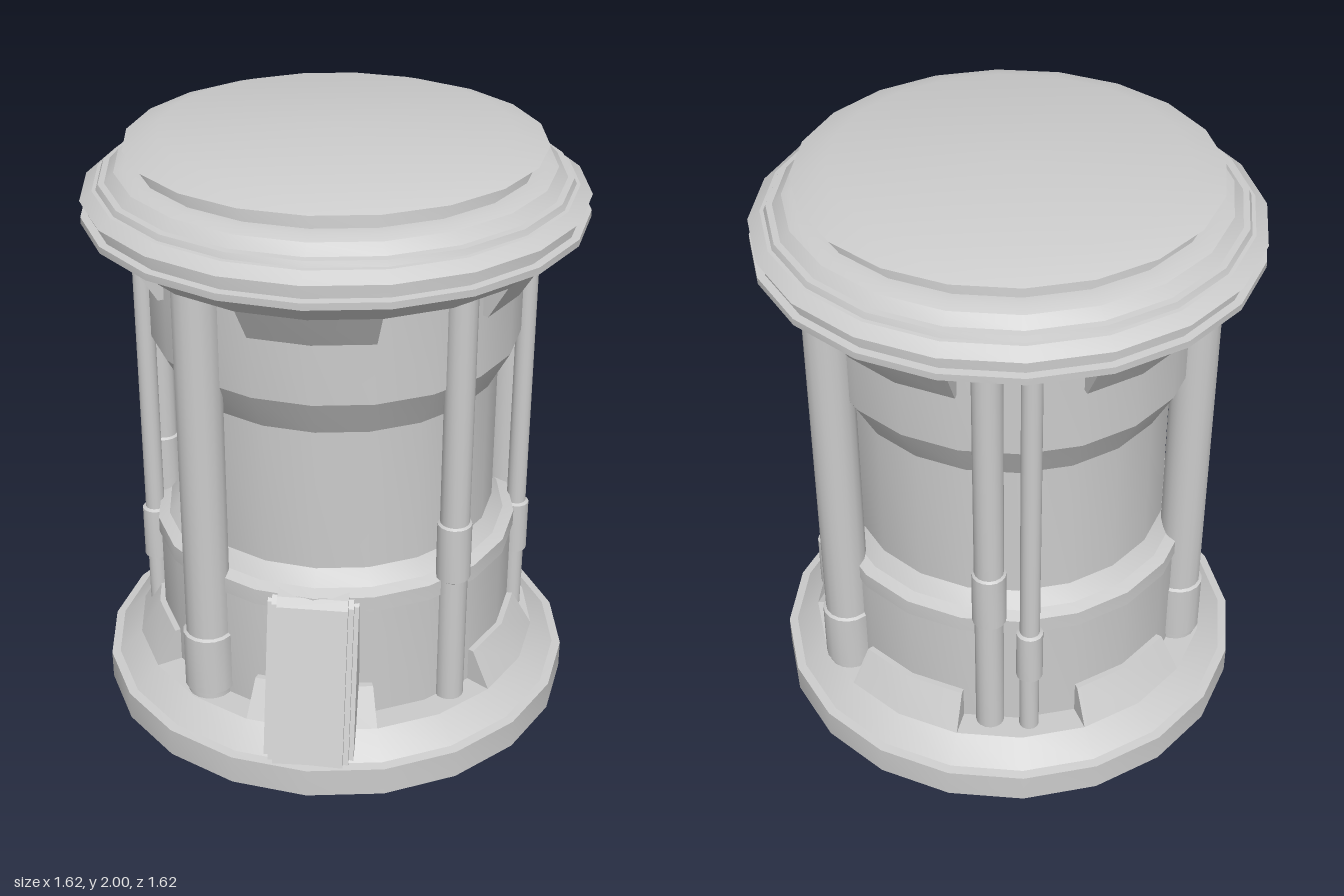
import * as THREE from 'three';
import { toCreasedNormals } from 'three/addons/utils/BufferGeometryUtils.js';

const SIDES = 20;
const STEP = (Math.PI * 2) / SIDES;
const material = new THREE.MeshStandardMaterial({ color: 0xcccccc, side: THREE.DoubleSide });

const toPoints = (list) => list.map(([x, y]) => new THREE.Vector2(x, y));

function part(name, geometry) {
  const mesh = new THREE.Mesh(geometry, material);
  mesh.name = name;
  return mesh;
}

// Smooth around the axis, sharp where the profile bends
function turned(name, profile, segments = SIDES, start = 0, length = Math.PI * 2) {
  const geometry = new THREE.LatheGeometry(toPoints(profile), segments, start, length);
  return part(name, toCreasedNormals(geometry, 0.42));
}

// Wedge of a ring, two facets wide, with flat end walls
function boss(name, profile, innerCorner, start) {
  const group = new THREE.Group();
  group.name = name;
  group.add(turned(name + 'Face', profile, 2, start, STEP * 2));
  for (const angle of [start, start + STEP * 2]) {
    const wall = new THREE.ShapeGeometry(new THREE.Shape(toPoints([...profile, innerCorner])));
    wall.rotateY(angle - Math.PI / 2);
    group.add(part(name + 'End', wall));
  }
  return group;
}

// Upright pipe with a thicker sleeve
const PIPES = {
  large: { r: 0.075, sleeve: 0.085, from: 0.2, to: 0.42 },
  medium: { r: 0.048, sleeve: 0.056, from: 0.64, to: 0.85 },
  thin: { r: 0.033, sleeve: 0.044, from: 0.41, to: 0.61 },
};

function pipe(kind, x, z) {
  const { r, sleeve, from, to } = PIPES[kind];
  const mesh = turned(kind + 'Pipe', [
    [0, 0.18], [r, 0.18], [r, from], [sleeve, from + 0.006],
    [sleeve, to - 0.006], [r, to], [r, 1.66],
  ], 16);
  mesh.position.set(x, 0, z);
  return mesh;
}

// Sloping brace, extruded across x from a side profile
function braceLayer(name, width, inset) {
  const shape = new THREE.Shape(toPoints([
    [0.56, 0.1], [0.785 - inset, 0.1], [0.635 - inset, 0.61],
    [0.615 - inset, 0.638 - inset * 0.3], [0.58 - inset, 0.648 - inset * 0.4], [0.53, 0.648 - inset * 0.4],
  ]));
  const geometry = new THREE.ExtrudeGeometry(shape, { depth: width, bevelEnabled: false });
  geometry.translate(0, 0, -width / 2);
  geometry.rotateY(-Math.PI / 2);
  return part(name, geometry);
}

export function createModel() {
  const model = new THREE.Group();
  model.name = 'column';

  // Open base ring with a sloping shoulder and a flat floor
  model.add(turned('base', [
    [0.81, 0], [0.81, 0.1], [0.78, 0.105], [0.7, 0.18], [0.6, 0.18],
  ]));

  // Central body with a narrow waist
  model.add(turned('body', [
    [0.61, 0.18], [0.61, 0.58], [0.618, 0.585], [0.618, 0.64], [0.58, 0.655],
    [0.54, 0.705], [0.54, 1.2], [0.61, 1.33], [0.61, 1.655],
  ]));

  // Flared collar and stepped cap
  model.add(turned('cap', [
    [0.6, 1.655], [0.7, 1.655], [0.77, 1.728], [0.81, 1.735], [0.81, 1.757], [0.785, 1.76],
    [0.785, 1.805], [0.81, 1.81], [0.77, 1.84], [0.758, 1.842], [0.75, 1.86], [0.73, 1.863],
    [0.7, 1.895], [0.67, 1.907], [0.635, 1.91], [0.63, 1.955], [0.67, 1.963],
    [0.56, 2], [0, 2],
  ]));

  // Five bosses above and below, with notches between them
  for (let i = 0; i < 5; i++) {
    const start = -STEP + i * STEP * 4;
    model.add(boss('lowerBoss', [[0.7, 0.18], [0.63, 0.3], [0.6, 0.3]], [0.6, 0.18], start));
    model.add(boss('upperBoss', [[0.6, 1.54], [0.63, 1.54], [0.7, 1.655]], [0.6, 1.655], start));
  }

  // Pipes grouped in the notches
  model.add(
    pipe('medium', 0.435, 0.435),
    pipe('thin', 0.625, -0.13),
    pipe('large', 0.575, -0.265),
    pipe('medium', 0.1, -0.6),
    pipe('thin', -0.03, -0.63),
    pipe('large', -0.585, -0.19),
    pipe('medium', -0.61, -0.04),
    pipe('thin', -0.63, 0.06),
    pipe('large', -0.365, 0.5),
  );

  // Front brace in three stepped layers
  const brace = new THREE.Group();
  brace.name = 'frontBrace';
  brace.add(
    braceLayer('braceCentre', 0.23, 0),
    braceLayer('braceMiddle', 0.265, 0.015),
    braceLayer('braceOuter', 0.295, 0.03),
  );
  model.add(brace);

  return model;
}
